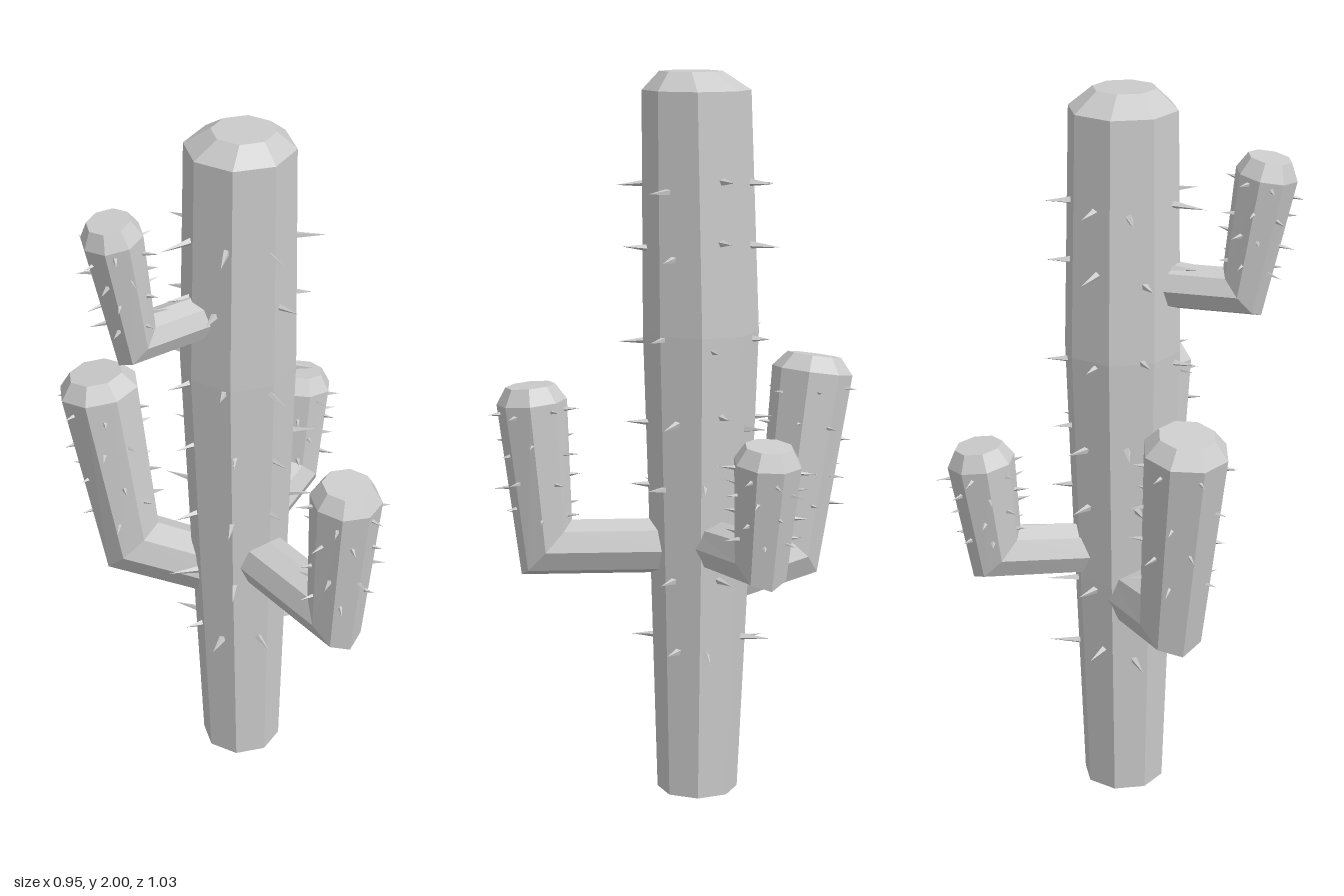
import * as THREE from 'three';
import { mergeGeometries } from 'three/addons/utils/BufferGeometryUtils.js';

const SIDES = 8;
const V = (x, y, z) => new THREE.Vector3(x, y, z);
const UP = V(0, 1, 0);
const material = new THREE.MeshStandardMaterial({ color: 0xcccccc, flatShading: true });

function seeded(seed) {
  return () => (seed = (seed * 16807) % 2147483647) / 2147483647;
}

// Closed skin over rings; each ring is a centre c and two radius vectors a, b
function loft(rings) {
  const pos = [], index = [];
  const at = (i, j) => i * SIDES + (j % SIDES);
  for (const { c, a, b } of rings) {
    for (let j = 0; j < SIDES; j++) {
      const t = (j / SIDES) * Math.PI * 2;
      pos.push(...c.clone().addScaledVector(a, Math.cos(t)).addScaledVector(b, Math.sin(t)).toArray());
    }
  }
  for (let i = 0; i < rings.length - 1; i++) {
    for (let j = 0; j < SIDES; j++) {
      index.push(at(i, j), at(i, j + 1), at(i + 1, j + 1), at(i, j), at(i + 1, j + 1), at(i + 1, j));
    }
  }
  const last = rings.length - 1;
  for (let j = 1; j < SIDES - 1; j++) {
    index.push(at(0, 0), at(0, j + 1), at(0, j), at(last, 0), at(last, j), at(last, j + 1));
  }
  const g = new THREE.BufferGeometry();
  g.setAttribute('position', new THREE.Float32BufferAttribute(pos, 3));
  g.setIndex(index);
  g.computeVertexNormals();
  return g;
}

function part(name, geometry) {
  const mesh = new THREE.Mesh(geometry, material);
  mesh.name = name;
  return mesh;
}

// Thin four-sided cone standing on a point and aimed along dir
function spine(point, dir, length, radius) {
  const g = new THREE.ConeGeometry(radius, length, 4);
  g.translate(0, length * 0.4, 0);
  g.applyQuaternion(new THREE.Quaternion().setFromUnitVectors(UP, dir.clone().normalize()));
  return g.translate(point.x, point.y, point.z);
}

// Trunk sections: height, radius, z of the centre
const TRUNK = [[0, 0.112, -0.05], [0.65, 0.136, -0.056], [1.3, 0.158, -0.058], [1.95, 0.147, -0.045], [2, 0.085, -0.03]];

function createTrunk() {
  const group = new THREE.Group();
  group.name = 'trunk';
  group.add(part('trunkBody', loft(TRUNK.map(([y, r, z]) => ({ c: V(0, y, z), a: V(0, 0, r), b: V(r, 0, 0) })))));

  // Spines in loose rows up the trunk
  const rand = seeded(71), spines = [];
  for (const y of [0.43, 0.635, 0.87, 1.06, 1.28, 1.53, 1.71]) {
    for (let k = 0; k < 7; k++) {
      const t = (k / 7) * Math.PI * 2 + (rand() - 0.5) * 0.4;
      const dir = V(Math.sin(t), (rand() - 0.5) * 0.2, Math.cos(t));
      const r = 0.118 + 0.035 * Math.min(y / 1.3, 1) - 0.008;
      const point = V(Math.sin(t) * r, y + (rand() - 0.5) * 0.05, -0.057 + Math.cos(t) * r);
      spines.push(spine(point, dir, 0.055 + rand() * 0.045, 0.011));
    }
  }
  group.add(part('trunkSpines', mergeGeometries(spines)));
  return group;
}

// Arm: leaves the trunk sideways, bends once at a mitred elbow and rises to a bevelled tip
function createArm({ name, tip, elbow, startY, r, cap, seed }) {
  const origin = V(0, 0, -0.057);
  const out = V(tip[0], 0, tip[2]).sub(origin);
  const reach = out.length();
  out.normalize();
  const side = UP.clone().cross(out);
  const point = (d, y) => origin.clone().addScaledVector(out, d).setY(y);

  const p0 = point(0.04, startY), p1 = point(elbow[0], elbow[1]), p2 = point(reach, tip[1]);
  const t1 = p1.clone().sub(p0).normalize(), t2 = p2.clone().sub(p1).normalize();
  const tm = t1.clone().add(t2).normalize();
  const miter = 1 / tm.dot(t1);
  const ring = (c, t, rad, k = 1) => ({ c, a: side.clone().multiplyScalar(rad), b: t.clone().cross(side).multiplyScalar(rad * k) });

  const group = new THREE.Group();
  group.name = name;
  group.add(part(name + 'Body', loft([
    ring(p0, t1, r[0]),
    ring(p1, tm, r[1], miter),
    ring(p2, t2, r[2]),
    ring(p2.clone().addScaledVector(t2, 0.045), t2, cap),
  ])));

  // Small spines around the upright half
  const rand = seeded(seed), spines = [], normal = t2.clone().cross(side);
  for (let row = 0; row < 4; row++) {
    for (let k = 0; k < 6; k++) {
      const f = 0.27 + row * 0.21 + (rand() - 0.5) * 0.1;
      const a = ((k + (row % 2) * 0.5) / 6) * Math.PI * 2 + (rand() - 0.5) * 0.4;
      const dir = side.clone().multiplyScalar(Math.cos(a)).addScaledVector(normal, Math.sin(a));
      const rad = THREE.MathUtils.lerp(r[1], r[2], f) * 0.94;
      const base = p1.clone().lerp(p2, f).addScaledVector(dir, rad);
      spines.push(spine(base, dir, 0.03 + rand() * 0.025, 0.007));
    }
  }
  group.add(part(name + 'Spines', mergeGeometries(spines)));
  return group;
}

// tip: x, y, z below the bevel; elbow: distance from the trunk axis, height
const ARMS = [
  { name: 'frontArm', tip: [0, 1.105, 0.405], elbow: [0.425, 0.695], startY: 0.7, r: [0.077, 0.077, 0.097], cap: 0.068, seed: 11 },
  { name: 'leftArm', tip: [0.352, 1.005, -0.225], elbow: [0.352, 0.735], startY: 0.715, r: [0.07, 0.075, 0.092], cap: 0.065, seed: 23 },
  { name: 'backRightArm', tip: [-0.24, 1.15, -0.38], elbow: [0.318, 0.635], startY: 0.6, r: [0.085, 0.09, 0.115], cap: 0.077, seed: 37 },
  { name: 'upperRightArm', tip: [-0.383, 1.805, -0.075], elbow: [0.325, 1.485], startY: 1.485, r: [0.062, 0.062, 0.082], cap: 0.058, seed: 53 },
];

export function createModel() {
  const model = new THREE.Group();
  model.name = 'cactus';
  model.add(createTrunk(), ...ARMS.map(createArm));
  return model;
}
